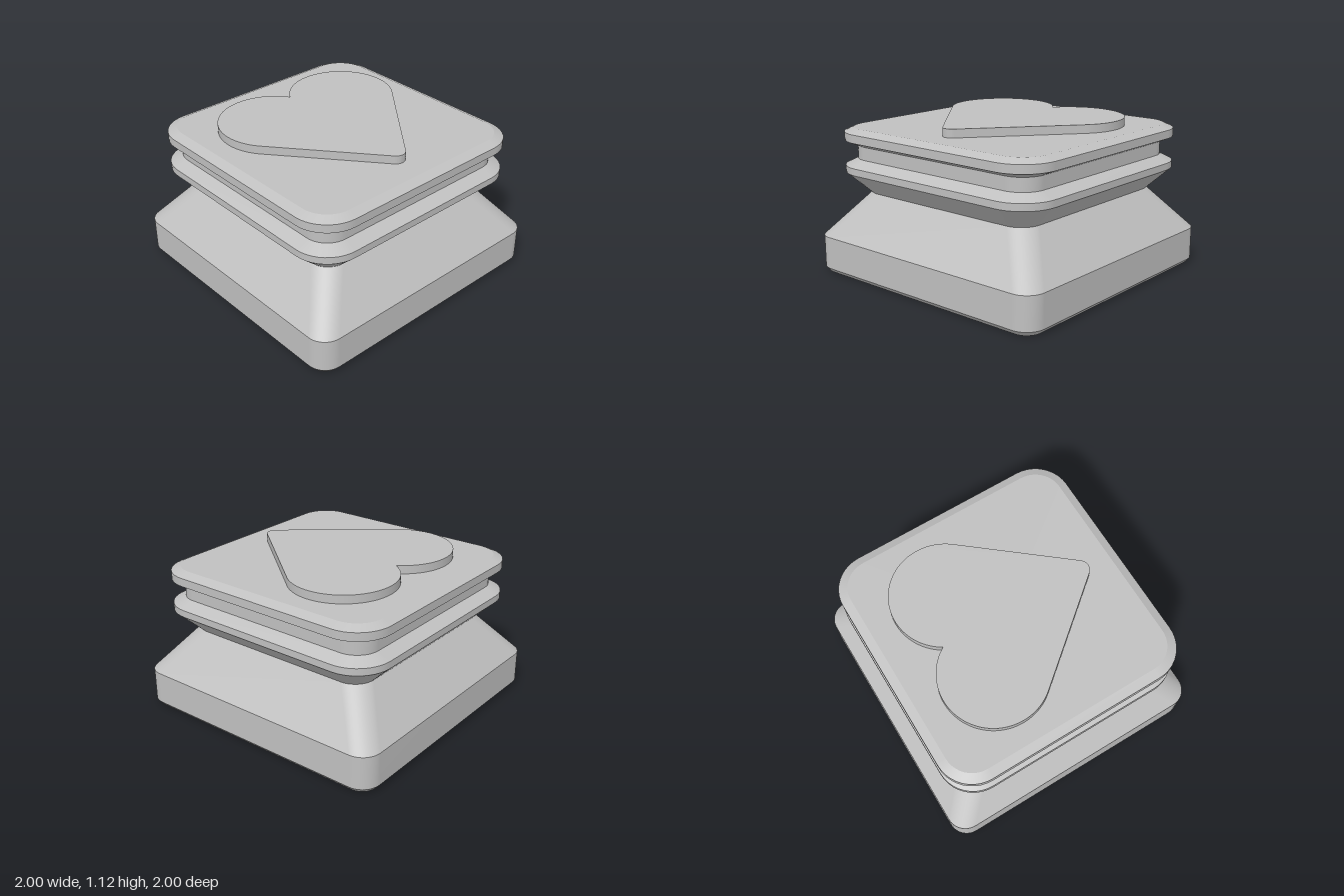
import * as THREE from 'three';
import { mergeGeometries, toCreasedNormals } from 'three/addons/utils/BufferGeometryUtils.js';

const CORNER_STEPS = 10;

// Points of a rounded square of half width h and corner radius r at height y
function ring([y, h, r]) {
  const points = [];
  for (let corner = 0; corner < 4; corner++) {
    const mid = (corner + 0.5) * Math.PI / 2;
    const cx = Math.sign(Math.cos(mid)) * (h - r);
    const cz = Math.sign(Math.sin(mid)) * (h - r);
    for (let i = 0; i <= CORNER_STEPS; i++) {
      const a = (corner + i / CORNER_STEPS) * Math.PI / 2;
      points.push(cx + r * Math.cos(a), y, cz + r * Math.sin(a));
    }
  }
  return points;
}

// One wall between two rings: smooth round the corners, sharp at its rims
function band(lower, upper) {
  const bottom = ring(lower), top = ring(upper);
  const n = bottom.length / 3, index = [];
  for (let i = 0; i < n; i++) {
    const j = (i + 1) % n;
    index.push(i, n + i, j, n + i, n + j, j);
  }
  const geometry = new THREE.BufferGeometry();
  geometry.setAttribute('position', new THREE.Float32BufferAttribute([...bottom, ...top], 3));
  geometry.setIndex(index);
  geometry.computeVertexNormals();
  return geometry;
}

// Stack of walls through sections [height, half width, corner radius]
function loft(sections) {
  return mergeGeometries(sections.slice(1).map((s, i) => band(sections[i], s)));
}

// Heart with two round lobes, straight flanks and a rounded tip
function heartGeometry() {
  const flank = 0.688, notch = 2.597;
  const shape = new THREE.Shape();
  shape.absarc(0.325, 0.29, 0.38, -flank, notch, false);
  shape.absarc(-0.325, 0.29, 0.38, Math.PI - notch, Math.PI + flank, false);
  shape.absarc(0, -0.595, 0.07, Math.PI + flank, 2 * Math.PI - flank, false);
  const geometry = new THREE.ExtrudeGeometry(shape, { depth: 0.065, bevelEnabled: false, curveSegments: 40 });
  geometry.rotateX(-Math.PI / 2);
  return toCreasedNormals(geometry, 0.5);
}

export function createModel() {
  const model = new THREE.Group();
  const grey = new THREE.MeshStandardMaterial({ name: 'light grey', color: 0xc0c0c0 });

  const add = (name, geometry) => {
    const mesh = new THREE.Mesh(geometry, grey);
    mesh.name = name;
    model.add(mesh);
    return mesh;
  };

  // Plinth, with a small chamfer underneath
  add('base', loft([[0, 0, 0], [0, 0.97, 0.11], [0.035, 1, 0.14], [0.27, 1, 0.14]]));
  // Slopes in to the waist and out again
  add('waist', loft([[0.27, 1, 0.14], [0.585, 0.75, 0.15], [0.74, 0.91, 0.26]]));
  add('lowerRim', loft([[0.74, 0.91, 0.26], [0.79, 0.91, 0.26], [0.835, 0.82, 0.17]]));
  add('groove', loft([[0.835, 0.82, 0.17], [0.93, 0.82, 0.17]]));
  // Top plate with chamfered edges
  add('topPlate', loft([
    [0.93, 0.82, 0.17], [0.97, 0.91, 0.26], [1.03, 0.91, 0.26], [1.06, 0.845, 0.2], [1.06, 0, 0],
  ]));
  // Raised heart, its tip towards the front
  add('heart', heartGeometry()).position.y = 1.055;

  return model;
}
